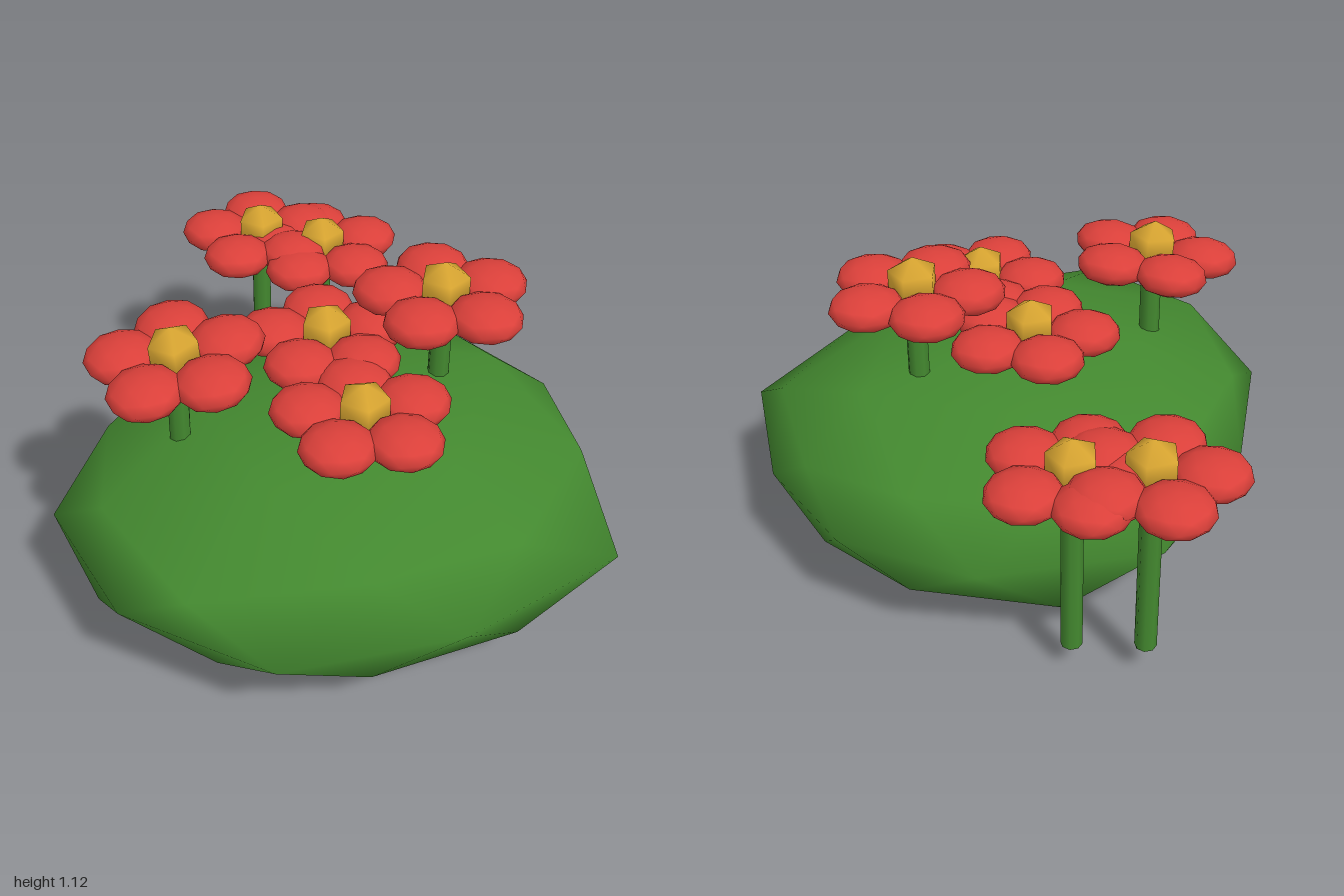
import * as THREE from 'three';

const green = new THREE.MeshStandardMaterial({ name: 'leafGreen', color: 0x43882f });
const red = new THREE.MeshStandardMaterial({ name: 'petalRed', color: 0xdb403a });
const yellow = new THREE.MeshStandardMaterial({ name: 'pollenYellow', color: 0xdca832 });

// Smooth 80-faced ball with a vertex at each pole; bulge scales each ring's points outward
function icoBall(rx, ry, rz, bulge = []) {
  const pos = [], idx = [];
  const rad = THREE.MathUtils.degToRad;
  const ring = (n, start, shape, factors = []) => {
    for (let i = 0; i < n; i++) {
      const [r, y] = shape[i % shape.length];
      const a = rad(start + (360 / n) * i), f = factors[i] ?? 1;
      pos.push(rx * r * Math.cos(a) * f, ry * y * f, rz * r * Math.sin(a) * f);
    }
  };
  ring(1, 0, [[0, 1]]);
  ring(5, 0, [[0.526, 0.851]], bulge[0]);
  ring(10, 0, [[0.894, 0.447], [0.851, 0.526]], bulge[1]);
  ring(10, 18, [[1, 0]], bulge[2]);
  ring(10, 0, [[0.851, -0.526], [0.894, -0.447]], bulge[3]);
  ring(5, 36, [[0.526, -0.851]], bulge[4]);
  ring(1, 0, [[0, -1]]);

  const A = i => 1 + i % 5, B = i => 6 + i % 10, C = i => 16 + i % 10;
  const D = i => 26 + i % 10, E = i => 36 + i % 5;
  for (let i = 0; i < 5; i++) {
    const j = 2 * i;
    idx.push(0, A(i + 1), A(i), A(i), B(j + 1), B(j));
    idx.push(A(i), A(i + 1), B(j + 1), A(i + 1), B(j + 2), B(j + 1));
    idx.push(D(j), D(j + 1), E(i), D(j + 1), D(j + 2), E(i));
    idx.push(D(j + 2), E(i + 1), E(i), E(i), E(i + 1), 41);
  }
  for (let j = 0; j < 10; j++) {
    idx.push(B(j + 1), C(j + 1), C(j), B(j), B(j + 1), C(j));
    idx.push(C(j), C(j + 1), D(j + 1), C(j), D(j + 1), D(j));
  }
  const geo = new THREE.BufferGeometry();
  geo.setAttribute('position', new THREE.Float32BufferAttribute(pos, 3));
  geo.setIndex(idx);
  geo.computeVertexNormals();
  return geo;
}

function addMesh(parent, name, geometry, material, x = 0, y = 0, z = 0) {
  const mesh = new THREE.Mesh(geometry, material);
  mesh.name = name;
  mesh.position.set(x, y, z);
  parent.add(mesh);
  return mesh;
}

export function createModel() {
  const model = new THREE.Group();
  model.name = 'floweringBush';

  // Lumpy bush body
  addMesh(model, 'bush', icoBall(0.93, 0.36, 0.79, [
    [1.1, 1.03, 1.04, 1, 0.95],
    [0.92, 1, 0.97, 0.98, 1.12, 1.06, 1, 1.05, 0.95, 0.95],
    [0.89, 1.09, 0.99, 1.04, 1.01, 1.05, 0.98, 1.1, 0.98, 0.89],
    [0.92, 1, 1.06, 1, 1, 1.06, 1, 1, 1.09, 0.95],
    [1.03, 1.08, 1.02, 0.95, 1],
  ]), green, 0.07, 0.36, 0.22);

  const petalGeo = icoBall(0.12, 0.06, 0.12);
  const centreGeo = new THREE.SphereGeometry(0.092, 5, 3);
  const stemGeo = new THREE.CylinderGeometry(0.035, 0.035, 0.65, 8);

  // Flowers: x, petal height, z, tilt
  const flowers = [
    [-0.45, 0.925, 0.08, 0.09],
    [0.08, 0.82, 0.04, 0],
    [0.4, 0.995, 0.22, 0],
    [0, 0.815, 0.45, 0],
    [0.37, 0.745, -0.57, 0],
    [0.2, 0.76, -0.725, 0],
  ];
  for (const [x, y, z, tilt] of flowers) {
    const flower = new THREE.Group();
    flower.name = 'flower';
    flower.position.set(x, y, z);
    addMesh(flower, 'stem', stemGeo, green, 0, -0.325, 0);

    const head = new THREE.Group();
    head.name = 'flowerHead';
    head.rotation.z = tilt;
    addMesh(head, 'flowerCentre', centreGeo, yellow, 0, 0.03, 0);
    for (let i = 0; i < 5; i++) {
      const a = (i / 5) * Math.PI * 2;
      const petal = addMesh(head, 'petal', petalGeo, red, 0.17 * Math.cos(a), 0, 0.17 * Math.sin(a));
      petal.rotation.y = -a;
    }
    flower.add(head);
    model.add(flower);
  }
  return model;
}
